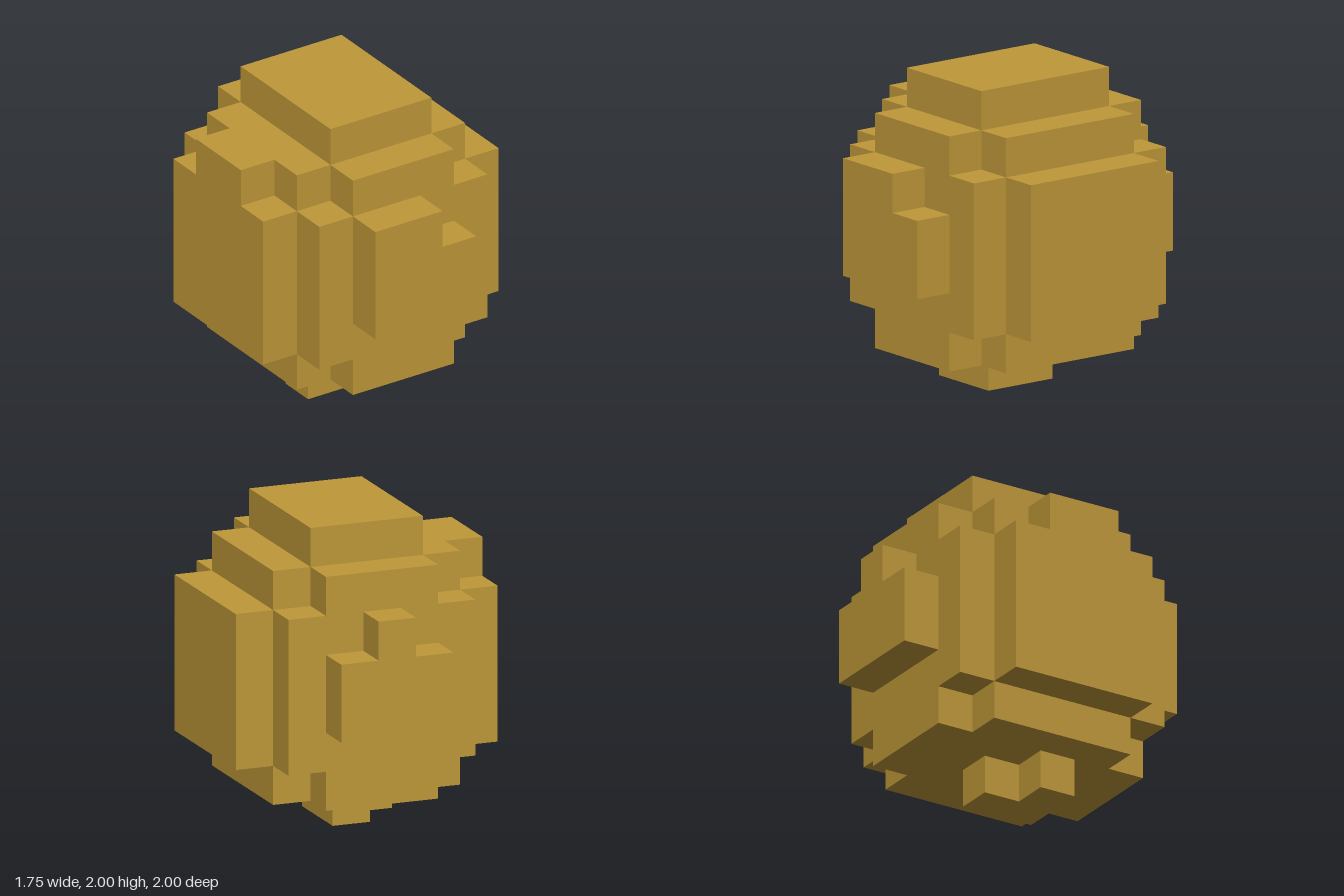
import * as THREE from 'three';

const U = 0.25; // size of one block

export function createModel() {
  const model = new THREE.Group();
  const ochre = new THREE.MeshStandardMaterial({ color: 0xbe9738 });
  ochre.name = 'ochre';

  const add = (name, geometry, x, y, z) => {
    const mesh = new THREE.Mesh(geometry, ochre);
    mesh.name = name;
    mesh.position.set(x * U, y * U, z * U);
    model.add(mesh);
  };

  // Box measured in blocks, standing on y
  const box = (name, w, h, d, x, y, z) =>
    add(name, new THREE.BoxGeometry(w * U, h * U, d * U), x, y + h / 2, z);

  // Stepped outline in blocks, one block thick
  const slab = (points) => new THREE.ExtrudeGeometry(
    new THREE.Shape(points.map(([a, b]) => new THREE.Vector2(a * U, b * U))),
    { depth: U, bevelEnabled: false });

  // Body: full core with corner-notched layers at front and back
  box('bodyCore', 5, 6, 4, 0, 1, 0);
  const notched = [
    [-1.5, 1], [1.5, 1], [1.5, 2], [2.5, 2], [2.5, 6], [1.5, 6],
    [1.5, 7], [-1.5, 7], [-1.5, 6], [-2.5, 6], [-2.5, 2], [-1.5, 2],
  ];
  add('bodyFront', slab(notched), 0, 0, 2);
  add('bodyBack', slab(notched), 0, 0, -3);

  // Top cap
  box('topCap', 3, 1, 4, 0, 7, 0);

  // Front panel with one upper corner missing
  add('frontPanel', slab([
    [-1.5, 3], [1.5, 3], [1.5, 5], [0.5, 5], [0.5, 6], [-1.5, 6],
  ]), 0, 0, 3);

  // Back panel with a single central block on top
  add('backPanel', slab([
    [-1.5, 3], [1.5, 3], [1.5, 5], [0.5, 5], [0.5, 6], [-0.5, 6], [-0.5, 5], [-1.5, 5],
  ]), 0, 0, -4);

  // Side panels; the right one has a raised centre
  box('leftPanel', 1, 4, 4, 3, 2, 0);
  add('rightPanel', slab([
    [-2, 2], [2, 2], [2, 6], [1, 6], [1, 7], [-1, 7], [-1, 6], [-2, 6],
  ]).rotateY(Math.PI / 2), -3.5, 0, 0);

  // L-shaped foot
  add('foot', slab([
    [-1.5, 0], [-0.5, 0], [-0.5, -1], [0.5, -1], [0.5, 1], [-1.5, 1],
  ]).rotateX(Math.PI / 2), 0, 1, 0);

  return model;
}
